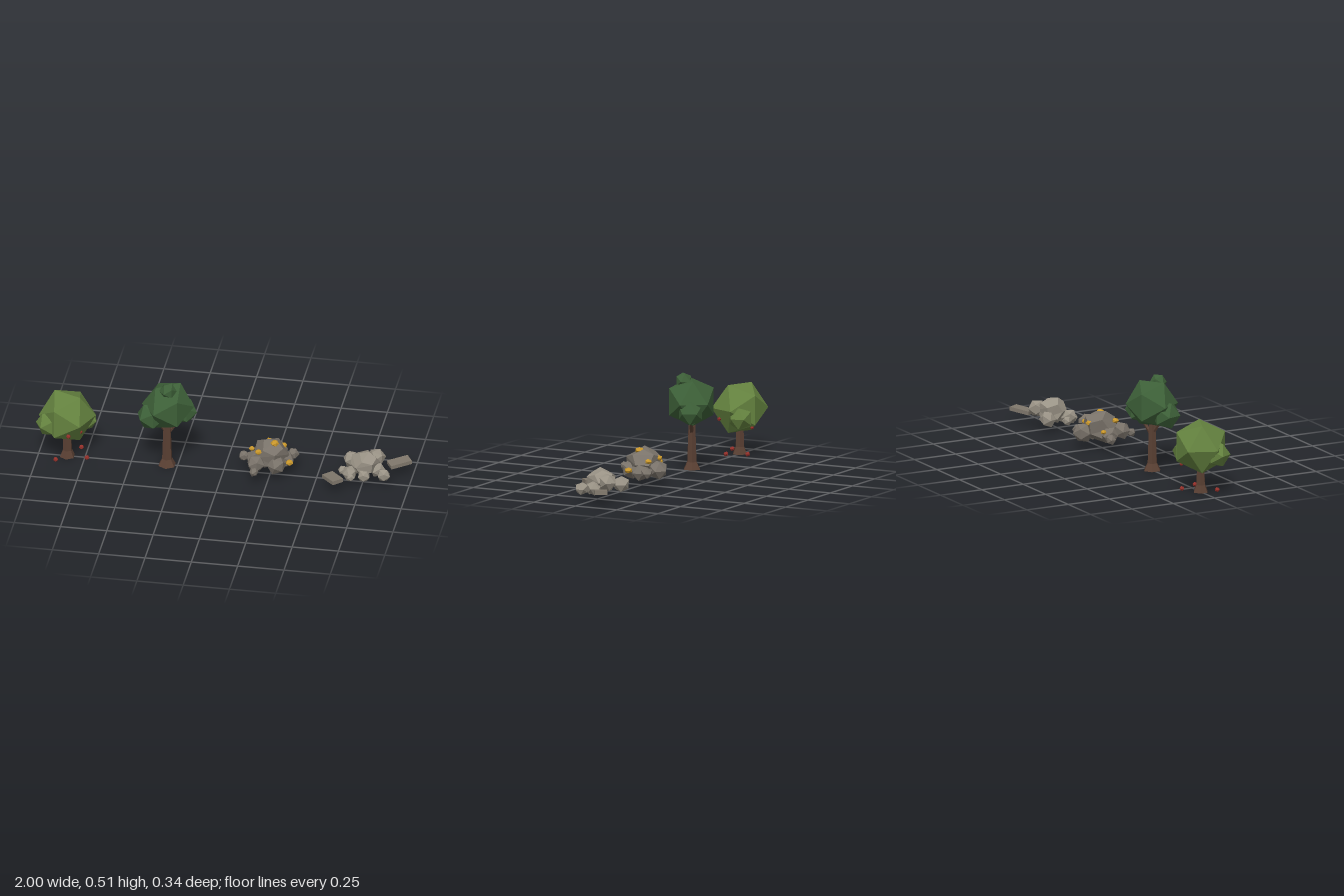
import * as THREE from 'three';

const mat = (color) => new THREE.MeshStandardMaterial({ color, flatShading: true });
const MAT = {
  bark: mat(0x5a4033), lightLeaf: mat(0x64823f), darkLeaf: mat(0x3d6038), fruit: mat(0x94302a),
  darkStone: mat(0x7a736a), paleStone: mat(0x9a9386), slab: mat(0x7f776b), gold: mat(0xc9972b),
};

function add(parent, name, geometry, material, x = 0, y = 0, z = 0) {
  const mesh = new THREE.Mesh(geometry, material);
  mesh.name = name;
  mesh.position.set(x, y, z);
  parent.add(mesh);
  return mesh;
}

// Push each corner in or out by a repeatable amount that depends on its position
function roughen(geometry, amount) {
  const p = geometry.attributes.position, v = new THREE.Vector3();
  for (let i = 0; i < p.count; i++) {
    v.fromBufferAttribute(p, i);
    const wave = Math.sin(v.x * 5.1 + v.y * 3.7 + v.z * 7.3);
    v.multiplyScalar(1 + amount * wave);
    p.setXYZ(i, v.x, v.y, v.z);
  }
  geometry.computeVertexNormals();
  return geometry;
}

const leafGeometry = new THREE.IcosahedronGeometry(1, 0);
const stoneGeometry = roughen(new THREE.IcosahedronGeometry(1, 0), 0.06);
const boulderGeometry = roughen(new THREE.DodecahedronGeometry(1, 0), 0.07);

// Each blob is [x, y, z, radius, turn]
function blobs(parent, name, list, geometry, material, flat = 1) {
  for (const [x, y, z, r, turn = 0] of list) {
    const mesh = add(parent, name, geometry, material, x, y, z);
    mesh.scale.set(r, r * flat, r);
    mesh.rotation.y = turn;
  }
}

// Six-sided trunk with a flared foot
function trunk(parent, height, foot, low, high) {
  const flare = 0.04;
  add(parent, 'trunkFoot', new THREE.CylinderGeometry(low, foot, flare, 6), MAT.bark, 0, flare / 2, 0);
  add(parent, 'trunk', new THREE.CylinderGeometry(high, low, height - flare, 6), MAT.bark, 0, (height + flare) / 2, 0);
}

function branch(parent, from, to, radius) {
  const a = new THREE.Vector3(...from), b = new THREE.Vector3(...to);
  const dir = b.clone().sub(a);
  const mesh = add(parent, 'branch', new THREE.CylinderGeometry(radius * 0.7, radius, dir.length(), 5), MAT.bark);
  mesh.position.copy(a).add(b).multiplyScalar(0.5);
  mesh.quaternion.setFromUnitVectors(new THREE.Vector3(0, 1, 0), dir.normalize());
}

function section(root, name, x) {
  const group = new THREE.Group();
  group.name = name;
  group.position.x = x;
  root.add(group);
  return group;
}

export function createModel() {
  const root = new THREE.Group();
  root.name = 'treesAndRocks';

  // Low fruit tree
  const fruitTree = section(root, 'fruitTree', -0.845);
  trunk(fruitTree, 0.2, 0.042, 0.026, 0.02);
  blobs(fruitTree, 'crown', [
    [0, 0.25, 0, 0.152, -0.4],
    [-0.09, 0.22, 0.05, 0.072, 0.5],
    [0.088, 0.21, -0.05, 0.068, 0.2],
  ], leafGeometry, MAT.lightLeaf);
  blobs(fruitTree, 'hangingFruit', [
    [0.025, 0.182, 0.11, 0.013], [0.085, 0.197, 0.073, 0.011], [0.04, 0.155, -0.095, 0.011],
  ], leafGeometry, MAT.fruit);
  blobs(fruitTree, 'fallenFruit', [
    [-0.05, 0.014, 0.073, 0.014], [0.062, 0.014, -0.08, 0.014], [0.11, 0.014, 0.025, 0.014],
  ], leafGeometry, MAT.fruit);

  // Tall tree
  const tallTree = section(root, 'tallTree', -0.307);
  trunk(tallTree, 0.32, 0.049, 0.028, 0.018);
  branch(tallTree, [0, 0.2, 0], [-0.065, 0.3, 0.03], 0.012);
  branch(tallTree, [0, 0.19, 0], [0.07, 0.28, -0.03], 0.012);
  blobs(tallTree, 'crown', [
    [0.005, 0.365, 0, 0.14, 0.6],
    [-0.077, 0.315, 0.04, 0.08, 0.3],
    [0.085, 0.32, -0.037, 0.073, 0.4],
    [0.012, 0.475, 0.042, 0.047, 0.7],
  ], leafGeometry, MAT.darkLeaf);

  // Dark rock pile with gold nuggets
  const goldRock = section(root, 'goldRock', 0.25);
  blobs(goldRock, 'boulder', [[0, 0.12, -0.01, 0.095, 0.4]], boulderGeometry, MAT.darkStone, 0.92);
  blobs(goldRock, 'stone', [
    [-0.065, 0.1, 0.08, 0.05, 0.3],
    [0.04, 0.085, 0.045, 0.055, 1],
    [0.02, 0.09, -0.105, 0.055, 0.8],
    [0.075, 0.08, -0.03, 0.05, 0.1],
    [-0.085, 0.085, 0, 0.048, 1.4],
    [0.108, 0.085, -0.085, 0.033, 0.6],
    [-0.147, 0.08, -0.027, 0.03, 0.2],
    [-0.065, 0.082, 0.14, 0.025, 0.9],
  ], stoneGeometry, MAT.darkStone);
  blobs(goldRock, 'nugget', [
    [0.025, 0.19, 0.003, 0.024, 0.5],
    [-0.055, 0.155, 0.05, 0.02, 0.2],
    [0.06, 0.14, -0.07, 0.02, 0.9],
    [0.108, 0.092, 0.025, 0.022, 0.3],
    [-0.02, 0.15, -0.09, 0.02, 0.6],
    [-0.108, 0.115, -0.05, 0.017, 0],
  ], leafGeometry, MAT.gold, 0.75);

  // Pale rock pile with loose slabs
  const paleRock = section(root, 'paleRock', 0.755);
  blobs(paleRock, 'boulder', [[0, 0.1, -0.025, 0.08, 0.7]], boulderGeometry, MAT.paleStone, 0.88);
  blobs(paleRock, 'stone', [
    [-0.085, 0.075, -0.1, 0.046, 0.4],
    [0.052, 0.105, -0.09, 0.05, 0.9],
    [0.112, 0.07, 0.033, 0.037, 0.2],
    [-0.07, 0.07, 0.04, 0.042, 1.1],
    [-0.115, 0.06, 0, 0.026, 0.5],
    [0.005, 0.055, 0.035, 0.035, 0.1],
    [0.07, 0.07, -0.02, 0.042, 0.6],
    [-0.06, 0.06, 0.07, 0.022, 0.3],
  ], stoneGeometry, MAT.paleStone);
  for (const [x, y, z, length, turn, tilt] of [
    [-0.15, 0.067, 0.105, 0.104, -0.82, 0.05],
    [0.172, 0.072, -0.115, 0.118, 0.52, 0.1],
  ]) {
    const slab = add(paleRock, 'slab', new THREE.BoxGeometry(length, 0.021, 0.066), MAT.slab, x, y, z);
    slab.rotation.set(0, turn, tilt, 'YXZ');
  }
  return root;
}
